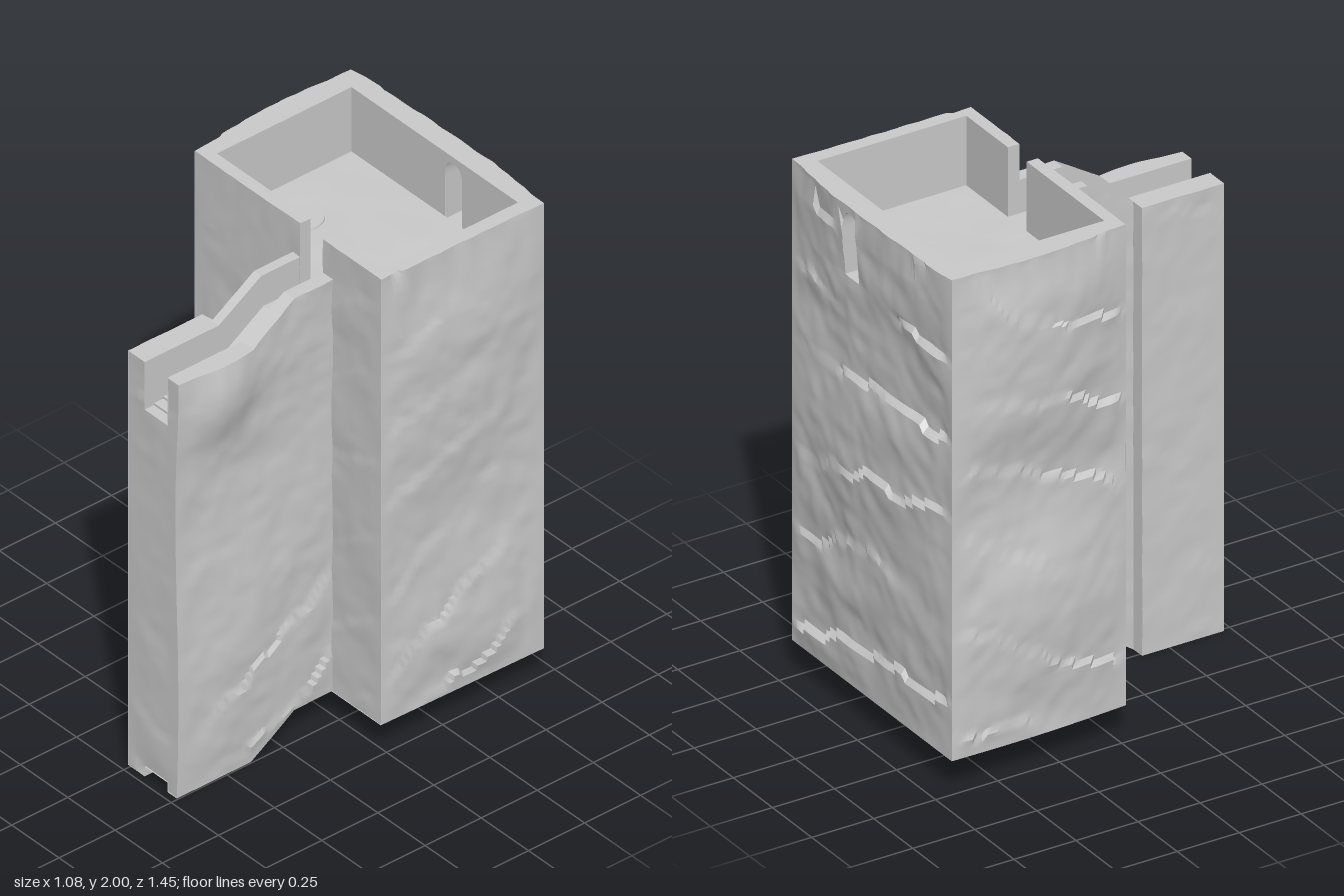
import * as THREE from 'three';
import { toCreasedNormals } from 'three/addons/utils/BufferGeometryUtils.js';

const stone = new THREE.MeshStandardMaterial({ color: 0xcccccc, side: THREE.DoubleSide });
const { lerp, clamp, smoothstep } = THREE.MathUtils;

// evenly spaced values plus extra ones, sorted
const range = (a, b, n, extra = []) => {
  const r = Array.from({ length: n + 1 }, (_, i) => a + (b - a) * i / n);
  const kept = r.filter((v, i) => i === 0 || i === n || !extra.some(e => Math.abs(e - v) < 0.008));
  return [...kept, ...extra].sort((p, q) => p - q);
};

// piecewise linear profile through [position, value] pairs
const profile = (pts, y) => {
  for (let i = 1; i < pts.length; i++) {
    const [a, va] = pts[i - 1], [b, vb] = pts[i];
    if (y <= b) return lerp(va, vb, smoothstep(y, a, b));
  }
  return pts[pts.length - 1][1];
};

// surface over a grid; fn(u, v) gives a point, skip(u, v) cuts a hole
function sheet(name, us, vs, fn, flip = false, skip = () => false) {
  const out = [];
  const tri = (a, b, c) => {
    const area = b.clone().sub(a).cross(c.clone().sub(a)).length();
    if (area < 1e-9) return;
    for (const p of flip ? [a, c, b] : [a, b, c]) out.push(p.x, p.y, p.z);
  };
  const grid = us.map(u => vs.map(v => new THREE.Vector3(...fn(u, v))));
  for (let i = 0; i < us.length - 1; i++) for (let j = 0; j < vs.length - 1; j++) {
    if (skip((us[i] + us[i + 1]) / 2, (vs[j] + vs[j + 1]) / 2)) continue;
    const a = grid[i][j], b = grid[i + 1][j], c = grid[i + 1][j + 1], d = grid[i][j + 1];
    tri(a, b, c);
    tri(a, c, d);
  }
  const g = new THREE.BufferGeometry();
  g.setAttribute('position', new THREE.Float32BufferAttribute(out, 3));
  const mesh = new THREE.Mesh(toCreasedNormals(g, 0.45), stone);
  mesh.name = name;
  return mesh;
}

// smooth value noise, -1 to 1
const hash = (i, j) => { const s = Math.sin(i * 127.1 + j * 311.7) * 43758.5453; return (s - Math.floor(s)) * 2 - 1; };
function noise(x, y) {
  const i = Math.floor(x), j = Math.floor(y), f = smoothstep(x - i, 0, 1), g = smoothstep(y - j, 0, 1);
  return lerp(lerp(hash(i, j), hash(i + 1, j), f), lerp(hash(i, j + 1), hash(i + 1, j + 1), f), g);
}
// weathered rock: tilted ledges with broken edges plus lumps
function rock(a, b, slope, seed) {
  const s = (b + slope * a + 0.07 * noise(a * 5 + seed, b * 4) + 0.02 * noise(a * 17, b * 17 + seed)) / 0.33 + seed;
  const strength = Math.max(0, 0.3 + noise(a * 2.5 + seed, b * 2.5 + 7));
  return 0.014 * strength * (s - Math.floor(s) - 0.5) + 0.004 * noise(a * 8 + seed, b * 8) + 0.002 * noise(a * 22, b * 22 + seed);
}
const fade = (u, a, b, w = 0.07) => clamp(Math.min(u - a, b - u) / w, 0, 1);
const arcFade = (u, a, b) => Math.sin(Math.PI * clamp((u - a) / (b - a), 0, 1));

const BASE = 0.13, TOP = 2, FLOOR = 1.73, BACK = -0.685, FRONT = 0.03;
const IN = { l: -0.42, r: 0.46, b: -0.62, f: -0.02 };
const SLOT = [0.075, 0.195];                    // passage walls
const WIN = { c: 0.12, r: 0.045, y0: 1.72, y1: 1.975 };

// outer tower faces
const outer = {
  front: (x, y) => [x, y, FRONT - 0.003 + rock(x, y, -0.5, 1) * 0.7 * fade(x, -0.48, 0.505) * fade(y, BASE, 3)],
  back: (x, y) => [x, y, BACK - profile([[BASE, 0], [0.7, 0.015], [1.1, 0.03], [1.5, 0], [1.8, 0.015], [2, 0.025]], y) * arcFade(x, -0.5, 0.52)
    - 1.5 * rock(x, y, 0.12, 4) * fade(x, -0.5, 0.52) * fade(y, BASE, 3)],
  right: (z, y) => [lerp(0.505, 0.52, (FRONT - z) / (FRONT - BACK))
    + profile([[BASE, 0], [0.35, 0.014], [0.8, -0.012], [1.3, 0.016], [1.6, 0.024], [2, 0]], y) * arcFade(z, BACK, FRONT)
    + 1.2 * rock(z, y, 0.6, 2) * fade(z, BACK, FRONT) * fade(y, BASE, 3), y, z],
  left: (z, y) => [lerp(-0.48, -0.5, (FRONT - z) / (FRONT - BACK))
    - profile([[BASE, 0.01], [0.6, 0.04], [1.1, 0], [1.5, 0.045], [1.8, 0.045], [2, 0.02]], y) * arcFade(z, BACK, FRONT)
    - 1.2 * rock(z, y, 0.4, 3) * fade(z, BACK, FRONT) * fade(y, BASE, 3), y, z],
};
const inX = x => clamp(x, IN.l, IN.r), inZ = z => clamp(z, IN.b, IN.f);
const inner = {
  front: (x, y) => [inX(x), y, IN.f], back: (x, y) => [inX(x), y, IN.b],
  right: (z, y) => [IN.r, y, inZ(z)], left: (z, y) => [IN.l, y, inZ(z)],
};
const mix = (p, q, t) => p.map((v, i) => lerp(v, q[i], t));

function tower() {
  const g = new THREE.Group();
  g.name = 'tower';
  const winCols = [0.075, 0.085, 0.1, 0.12, 0.14, 0.155, 0.165];
  const vs = range(BASE, TOP, 84, [WIN.y0, FLOOR, WIN.y1].sort());
  const high = [WIN.y0, FLOOR, ...range(1.76, 1.9, 5), WIN.y1, TOP];
  const rows = [...vs.filter(v => v < WIN.y0 - 0.008), ...high];
  // bends the row above the window into a round arch
  const arch = (x, y) => {
    const d = Math.abs(x - WIN.c) / WIN.r;
    return y === WIN.y1 && d < 1.001 ? 1.93 + WIN.r * Math.sqrt(Math.max(0, 1 - d * d)) : y;
  };
  const inSlot = x => x > SLOT[0] && x < SLOT[1];
  const sides = {
    front: { us: range(-0.48, 0.505, 44, SLOT), flip: false, skip: (x, y) => inSlot(x) && y > FLOOR },
    back: { us: range(-0.5, 0.52, 44, winCols), flip: true, skip: (x, y) => Math.abs(x - WIN.c) < WIN.r && y > WIN.y0 && y < WIN.y1 },
    right: { us: range(BACK, FRONT, 36, [IN.b, IN.f]), flip: true },
    left: { us: range(BACK, FRONT, 36, [IN.b, IN.f]), flip: false },
  };
  for (const [side, { us, flip, skip }] of Object.entries(sides)) {
    const bend = side === 'back' ? arch : (u, v) => v;
    g.add(sheet(side + 'Face', us, rows, (u, v) => outer[side](u, bend(u, v)), flip, skip));
    g.add(sheet(side + 'InnerWall', us, high, (u, v) => inner[side](u, bend(u, v)), !flip, skip));
    g.add(sheet(side + 'Rim', us, [0, 0.5, 1], (u, t) => mix(outer[side](u, TOP), inner[side](u, TOP), t), flip,
      u => side === 'front' && inSlot(u)));
  }
  // window reveal
  const climb = high.filter(v => v < WIN.y1);
  const path = [...climb.map(y => [winCols[0], y]), ...winCols.map(x => [x, arch(x, WIN.y1)]),
    ...climb.slice().reverse().map(y => [winCols[6], y]), [winCols[0], WIN.y0]];
  g.add(sheet('windowReveal', path.map((_, i) => i), [0, 1], (i, t) => mix(outer.back(...path[i]), inner.back(...path[i]), t)));
  // doorway sides, roof floor, underside
  SLOT.forEach((x, k) => g.add(sheet('doorwaySide', high.slice(1), [0, 1],
    (y, t) => mix(outer.front(x, y), inner.front(x, y), t), k === 0)));
  g.add(sheet('roofFloor', range(IN.l, IN.r, 20), range(IN.b, IN.f, 14), (x, z) =>
    [x, FLOOR + 0.004 * noise(x * 9, z * 9) * fade(x, IN.l, IN.r) * fade(z, IN.b, IN.f), z], true));
  g.add(sheet('underside', [0, 1], [BACK, FRONT], (t, z) => mix(outer.left(z, BASE), outer.right(z, BASE), t)));
  const hatch = new THREE.Mesh(new THREE.CylinderGeometry(0.075, 0.077, 0.01, 28), stone);
  hatch.name = 'roofHatch';
  hatch.position.set(-0.23, FLOOR + 0.001, -0.24);
  g.add(hatch);
  return g;
}

function buttress() {
  const g = new THREE.Group();
  g.name = 'stairButtress';
  const END = 0.72, JOG = 0.39, LIP = 1.54, GROOVE = 0.04;
  const slope = (z, a, b) => lerp(a, b, clamp((z - 0.2) / (JOG - 0.2), 0, 1));
  const top = z => slope(z, 1.86, 1.74), bottom = z => slope(z, BASE, 0);
  const at = (z, v) => lerp(bottom(z), top(z), v);
  const leftX = (z, y) => (z < JOG - 0.001 ? 0.037 : -0.013) - 0.5 * rock(z, y, 0.5, 6) * fade(z, 0, END) * fade(y, bottom(z), 3);
  const rightX = (z, y) => 0.245 + 0.045 * Math.exp(-(((z - 0.52) / 0.14) ** 2) - ((y - 1.6) / 0.16) ** 2)
    + 0.012 * arcFade(z, 0.1, 0.9) * Math.sin(y * 4) + rock(z, y, 0.6, 5) * fade(z, 0, END) * fade(y, bottom(z), 3);
  const zs = range(0, END, 36, [0.2, JOG - 0.004, JOG]);
  const vs = range(0, 1, 76, [GROOVE / 1.74, LIP / 1.74]);

  // outer faces
  g.add(sheet('rightFace', zs, vs, (z, v) => [rightX(z, at(z, v)), at(z, v), z], true));
  g.add(sheet('leftFace', zs, vs, (z, v) => [leftX(z, at(z, v)), at(z, v), z]));
  const cols = range(-0.013, 0.245, 12, SLOT);
  g.add(sheet('frontFace', cols, vs, (x, v) => {
    const y = at(END, v), edge = x < -0.012 ? leftX(END, y) : x > 0.244 ? rightX(END, y) : x;
    return [edge, y, END - 0.002 + 0.5 * rock(x, y, 0.3, 8) * fade(x, -0.013, 0.245)];
  }, false, (x, v) => x > SLOT[0] && x < SLOT[1] && (v * 1.74 > LIP || v * 1.74 < GROOVE)));

  // passage: level, ramp, then shallow steps to the open front
  const walk = [[IN.f, FLOOR], [0.19, FLOOR], [JOG, 1.6]];
  for (let i = 0; i < 8; i++) {
    const y = 1.6 - i * (1.6 - LIP) / 7, z = JOG + i * (END - JOG) / 8;
    walk.push([z, y], [z + (END - JOG) / 8, y]);
  }
  g.add(sheet('passageFloor', walk.map((_, i) => i), SLOT, (i, x) => [x, walk[i][1], walk[i][0]]));
  const wallPath = walk.map(([z, y]) => [Math.max(z, FRONT), y]);
  wallPath.splice(2, 0, [0.2, slope(0.2, FLOOR, 1.6)]);
  SLOT.forEach((x, k) => {
    const side = k ? rightX : leftX, name = k ? 'right' : 'left';
    g.add(sheet(name + 'ParapetInside', wallPath.map((_, i) => i), [0, 1],
      (i, t) => [x, lerp(wallPath[i][1], top(wallPath[i][0]), t), wallPath[i][0]], k === 0));
    g.add(sheet(name + 'ParapetTop', zs, [0, 1], (z, t) => [lerp(side(z, top(z)), x, t), top(z), z], k === 1));
    // underside strip and side of the drain groove
    g.add(sheet(name + 'Underside', zs, [0, 1], (z, t) => [lerp(side(z, bottom(z)), x, t), bottom(z), z], k === 0));
    g.add(sheet('grooveSide', [JOG, END], [0, GROOVE], (z, y) => [x, y, z], k === 0));
  });
  const soffit = [[0, BASE], [0.2, BASE], [JOG, 0], [JOG, GROOVE], [END, GROOVE]];
  g.add(sheet('middleUnderside', soffit.map((_, i) => i), SLOT, (i, x) => [x, soffit[i][1], soffit[i][0]], true));
  return g;
}

export function createModel() {
  const model = new THREE.Group();
  model.name = 'ruinedTower';
  model.add(tower(), buttress());
  return model;
}
